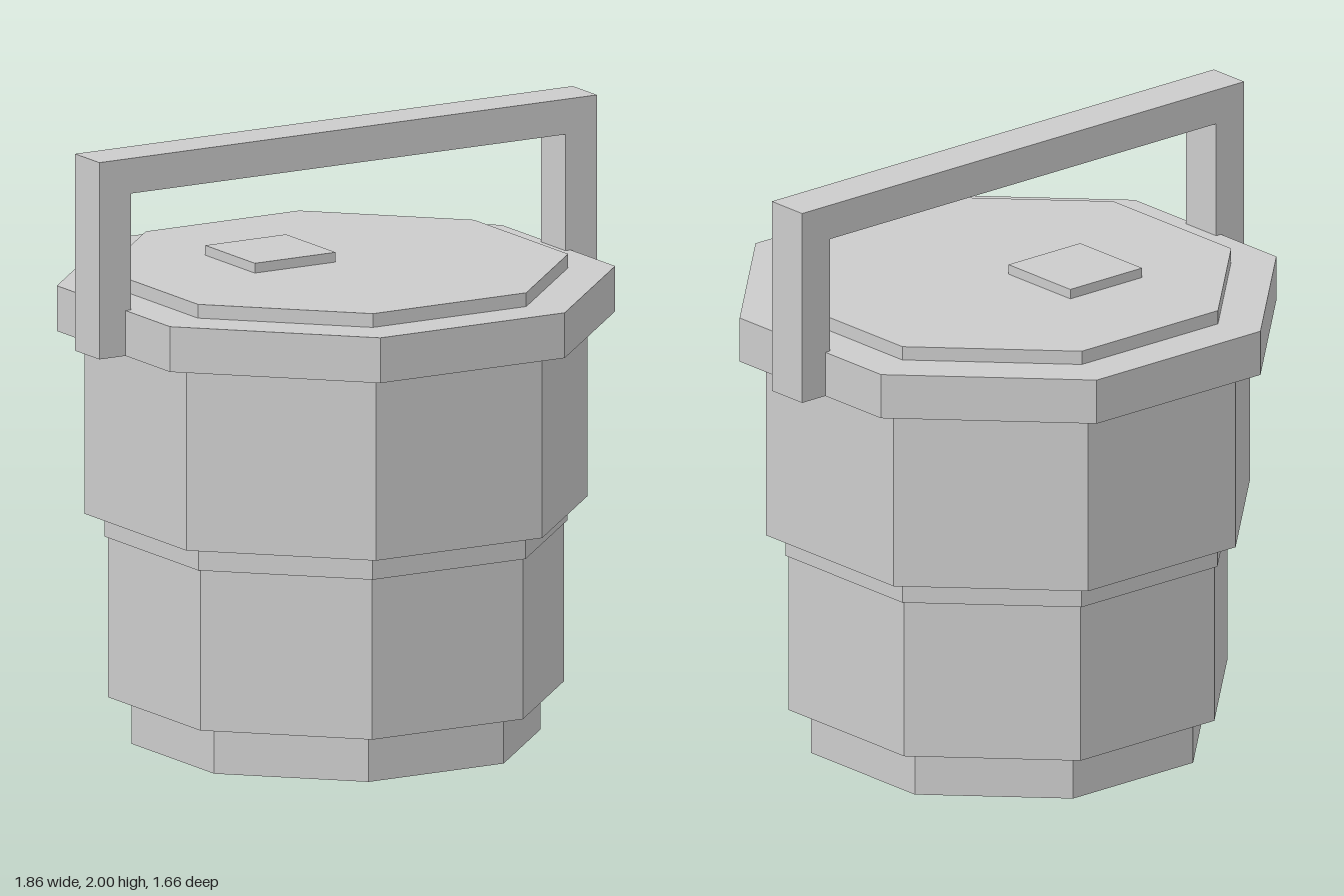
import * as THREE from 'three';

export function createModel() {
  const model = new THREE.Group();
  model.name = 'lunchPail';
  const grey = new THREE.MeshStandardMaterial({ color: 0xcccccc });
  grey.name = 'grey';
  grey.flatShading = true;

  function add(name, geometry) {
    const mesh = new THREE.Mesh(geometry, grey);
    mesh.name = name;
    model.add(mesh);
    return mesh;
  }

  // Stacked eight-sided tiers: name, half width across flats, bottom, top
  const tiers = [
    ['foot', 0.61, 0, 0.155],
    ['lowerBody', 0.68, 0.155, 0.68],
    ['middleBand', 0.69, 0.68, 0.757],
    ['upperBody', 0.75, 0.757, 1.357],
    ['rim', 0.832, 1.357, 1.505],
    ['lid', 0.692, 1.505, 1.55],
  ];
  for (const [name, apothem, bottom, top] of tiers) {
    const radius = apothem / Math.cos(Math.PI / 8);
    const geometry = new THREE.CylinderGeometry(radius, radius, top - bottom, 8);
    geometry.rotateY(Math.PI / 8);
    add(name, geometry).position.y = (bottom + top) / 2;
  }

  // Square plate on one quarter of the lid
  add('lidPlate', new THREE.BoxGeometry(0.302, 0.032, 0.302)).position.set(-0.152, 1.566, -0.152);

  // Square arch carrying handle
  const arch = new THREE.Shape([
    [-0.93, 1.357], [-0.812, 1.357], [-0.812, 1.885], [0.812, 1.885],
    [0.812, 1.357], [0.93, 1.357], [0.93, 2], [-0.93, 2],
  ].map(([x, y]) => new THREE.Vector2(x, y)));
  const handle = new THREE.ExtrudeGeometry(arch, { depth: 0.148, bevelEnabled: false });
  add('handle', handle.translate(0, 0, -0.074));

  return model;
}
